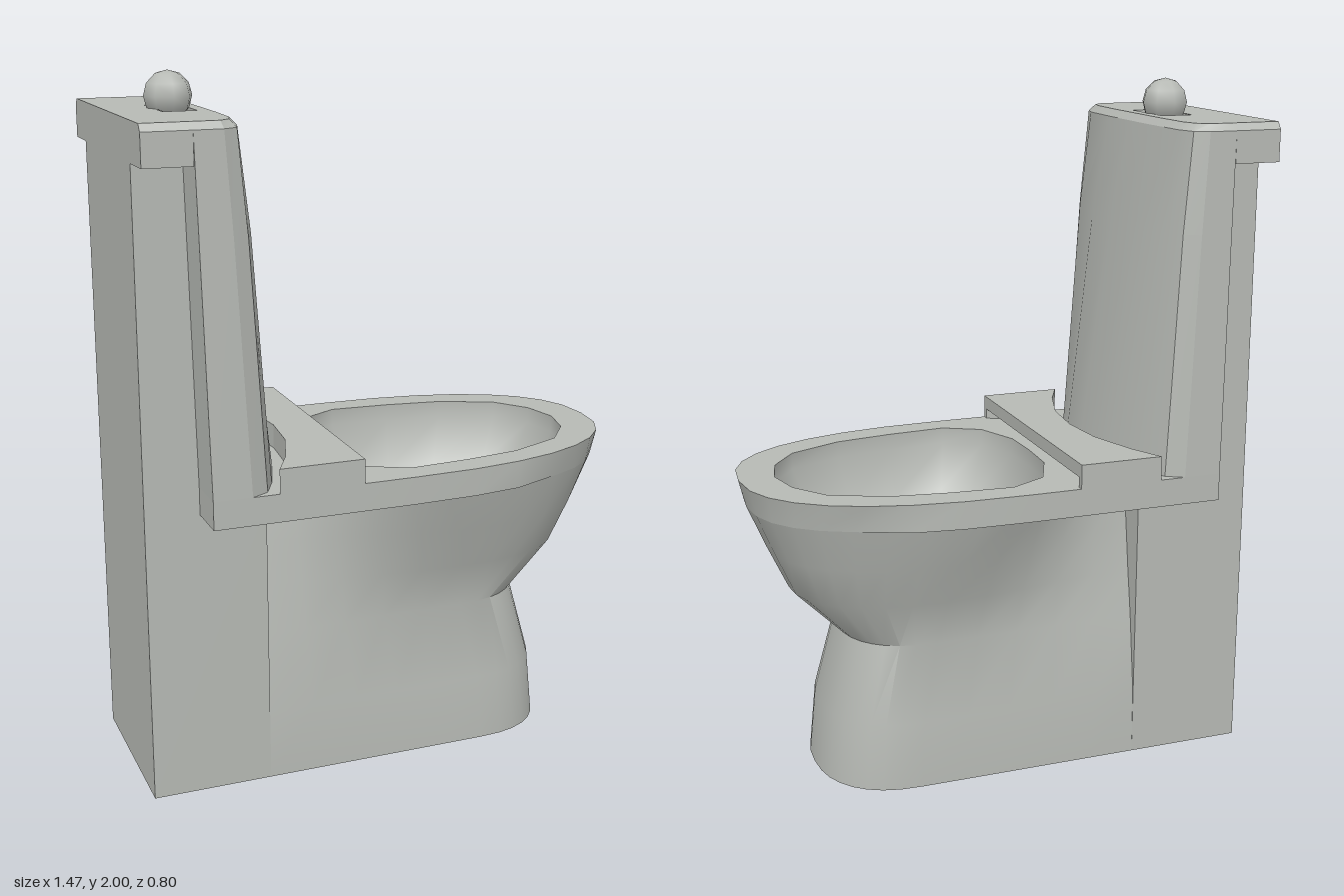
import * as THREE from 'three';
import { toCreasedNormals } from 'three/addons/utils/BufferGeometryUtils.js';

const ceramic = new THREE.MeshStandardMaterial({ color: 0xb6b9b4, side: THREE.DoubleSide });
ceramic.name = 'grey ceramic';

// Half outline [x, z] from back to front, mirrored into a full one
const mirror = (half) => {
  const other = half.map(([x, z]) => [x, -z]).reverse();
  return half.concat(half[half.length - 1][1] === 0 ? other.slice(1) : other);
};

// Surface through rows of outlines, each { y, pts }
function loft(rows, closed, crease = 0.6) {
  const n = rows[0].pts.length, pos = [], idx = [];
  for (const { y, pts } of rows) for (const [x, z] of pts) pos.push(x, y, z);
  for (let r = 0; r < rows.length - 1; r++) {
    for (let i = 0; i < (closed ? n : n - 1); i++) {
      const a = r * n + i, b = r * n + (i + 1) % n;
      idx.push(a, b, b + n, a, b + n, a + n);
    }
  }
  const g = new THREE.BufferGeometry();
  g.setAttribute('position', new THREE.Float32BufferAttribute(pos, 3));
  g.setIndex(idx);
  return toCreasedNormals(g, crease);
}

const toShape = (pts) => new THREE.Shape(pts.map(([x, z]) => new THREE.Vector2(x, -z)));

// Horizontal face at height y, with an optional hole
function flat(pts, y, hole) {
  const s = toShape(pts);
  if (hole) s.holes.push(toShape(hole));
  return new THREE.ShapeGeometry(s).rotateX(-Math.PI / 2).translate(0, y, 0);
}

// Upright prism between two heights
function prism(pts, y0, y1) {
  return new THREE.ExtrudeGeometry(toShape(pts), { depth: y1 - y0, bevelEnabled: false })
    .rotateX(-Math.PI / 2).translate(0, y0, 0);
}

// Box by its limits; open lists sides left out (0 +x, 1 -x, 2 +y, 3 -y)
function box(x0, x1, y0, y1, w, open = []) {
  const g = new THREE.BoxGeometry(x1 - x0, y1 - y0, w * 2).translate((x0 + x1) / 2, (y0 + y1) / 2, 0);
  g.setIndex(Array.from(g.index.array).filter((_, i) => !open.includes(Math.floor(i / 6))));
  g.clearGroups();
  return g;
}

// Bowl outline: straight flank from the back, then a rounded nose
const BACK = -0.39;
function bowlHalf(step, wb, w, xm, xf) {
  const pts = [[BACK, step]];
  for (let i = 0; i < 5; i++) {
    const t = i / 5;
    pts.push([BACK + (xm - BACK) * t, wb + (w - wb) * (1 - Math.cos(Math.PI * t)) / 2]);
  }
  for (let i = 0; i <= 8; i++) {
    const a = (i / 8) * Math.PI / 2;
    const z = i === 8 ? 0 : w * Math.pow(Math.cos(a), 0.83);
    pts.push([xm + (xf - xm) * Math.pow(Math.sin(a), 0.83), z]);
  }
  return pts;
}

export function createModel() {
  const model = new THREE.Group();
  model.name = 'toilet';
  const add = (name, geometry) => {
    const m = new THREE.Mesh(geometry, ceramic);
    m.name = name;
    model.add(m);
    return m;
  };

  // Pedestal flaring into the bowl
  const pedestal = [
    [0, 0.265, 0.265, 0.28, 0.54],
    [0.2, 0.262, 0.26, 0.27, 0.52],
    [0.43, 0.23, 0.225, 0.22, 0.46],
  ];
  const bowl = [
    [0.43, 0.23, 0.225, 0.22, 0.46],
    [0.57, 0.205, 0.27, 0.2, 0.6],
    [0.7, 0.185, 0.32, 0.17, 0.66],
    [0.83, 0.165, 0.362, 0.12, 0.715],
  ];
  const row = ([y, ...p]) => ({ y, pts: mirror(bowlHalf(0.265, ...p)) });
  add('pedestalAndBowl', loft([...pedestal, ...bowl.slice(1)].map(row), false));

  // Rim: overhangs at the sides and merges with the bowl at the nose
  const rim = mirror(bowlHalf(0.4, 0.4, 0.4, 0, 0.735));
  const under = row(bowl[3]).pts;
  const lower = rim.map((p, i) => (p[0] < 0.42 ? p : under[i]));
  add('rimSide', loft([{ y: 0.83, pts: under }, { y: 0.83, pts: lower }, { y: 0.91, pts: rim }], false));
  const opening = mirror([[-0.15, 0], [-0.145, 0.13], [-0.09, 0.26], [0.02, 0.318], [0.2, 0.305],
    [0.37, 0.28], [0.53, 0.21], [0.605, 0.11], [0.63, 0]]).slice(0, -1);
  add('rimTop', flat(rim.slice(1, -1), 0.91, opening));

  // Basin inside the bowl
  const basin = [[0.91, 1], [0.86, 1], [0.72, 0.86], [0.56, 0.5], [0.46, 0.23]].map(([y, s]) => ({
    y, pts: opening.map(([x, z]) => [0.16 + (x - 0.16) * s, z * s]),
  }));
  add('basin', loft(basin, true, 0.8));
  add('drain', flat(basin[4].pts, 0.46));

  // Rear deck, hollow base and the column behind the tank
  add('rearDeck', box(-0.58, BACK, 0.83, 0.91, 0.4));
  add('rearBase', box(-0.735, BACK, 0, 0.83, 0.265, [0, 3]));
  add('rearColumn', box(-0.735, -0.55, 0.83, 1.79, 0.265));

  // Hinge block with its back curved around the tank and a recess under its front
  const hingeBack = [[-0.28, 0], [-0.295, 0.15], [-0.345, 0.3], [-0.395, 0.4]];
  const hinge = (front) => mirror([...hingeBack, ...front]).slice(1);
  add('hingeTop', prism(hinge([[-0.15, 0.4]]), 0.94, 0.98));
  add('hingeFoot', prism(hinge([[-0.15, 0.4], [-0.15, 0.38], [-0.2, 0.35]]), 0.91, 0.94));

  // Tank: bowed front, tapering upward, with a bevelled top edge
  const low = [[-0.58, 0.4], [-0.47, 0.4], [-0.42, 0.372], [-0.385, 0.3], [-0.335, 0.15], [-0.315, 0]];
  const high = [[-0.6, 0.38], [-0.52, 0.38], [-0.48, 0.358], [-0.462, 0.3], [-0.456, 0.15], [-0.455, 0]];
  const top = [[-0.6, 0.365], [-0.525, 0.365], [-0.495, 0.34], [-0.48, 0.29], [-0.475, 0.15], [-0.475, 0]];
  const mid = low.map(([x, z], i) => [
    x + (high[i][0] - x) * 0.71 + 0.003 * i, z + (high[i][1] - z) * 0.71,
  ]);
  const tankRows = [[0.91, low], [1.6, mid], [1.88, high], [1.9, top]];
  add('tank', loft(tankRows.map(([y, h]) => ({ y, pts: mirror(h) })), true, 0.4));

  // Tank top reaching back over the column, with a recess for the knob
  add('tankTopRear', box(-0.735, -0.6, 1.79, 1.88, 0.38, [2]));
  const rearEdge = (w, x) => [[-0.735, w], [x, w]];
  add('tankTopRearBevel', loft([
    { y: 1.88, pts: mirror(rearEdge(0.38, -0.6)) },
    { y: 1.9, pts: mirror(rearEdge(0.365, -0.6)) },
  ], true, 0.2));
  const recess = [[-0.605, 0.1], [-0.51, 0.1], [-0.51, -0.1], [-0.605, -0.1]];
  add('tankTop', flat(mirror([[-0.735, 0.365], ...top.slice(1)]), 1.9, recess));
  add('knobRecess', box(-0.605, -0.51, 1.87, 1.9, 0.1, [2]));

  // Flush knob
  const knob = add('flushKnob', new THREE.SphereGeometry(0.068, 8, 6));
  knob.position.set(-0.56, 1.932, -0.01);
  const stem = add('knobStem', new THREE.CylinderGeometry(0.05, 0.05, 0.06, 8));
  stem.position.set(-0.56, 1.9, -0.01);

  return model;
}
